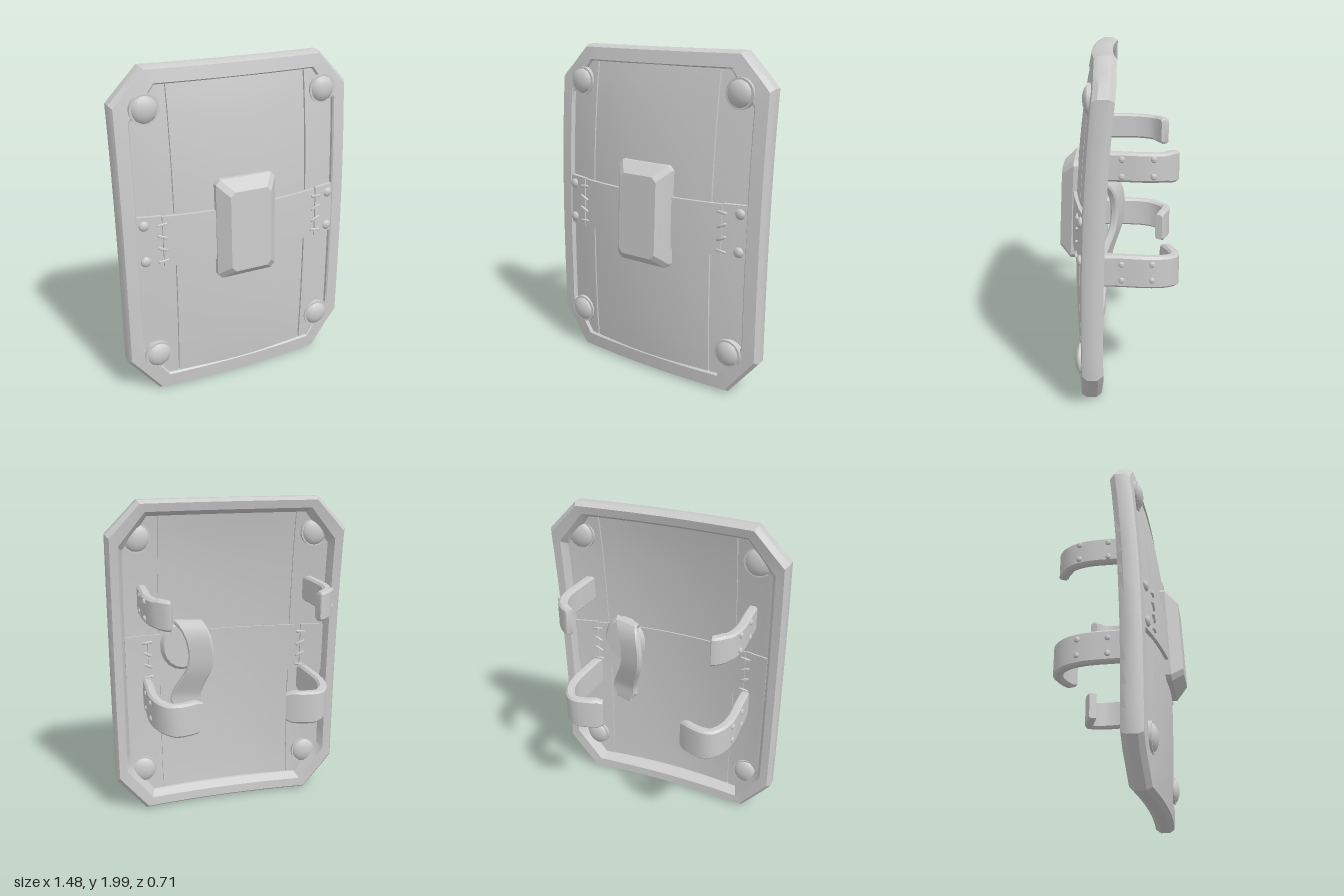
import * as THREE from 'three';
import { toCreasedNormals } from 'three/addons/utils/BufferGeometryUtils.js';

const V = (x, y, z) => new THREE.Vector3(x, y, z);
const lerp = THREE.MathUtils.lerp;
const material = new THREE.MeshStandardMaterial({ color: 0xcccccc });

// Curved back surface of the shield, and the front of its panel
const backZ = (x, y) => 0.088 - 0.094 * (y / 2) ** 3 + Math.max(-0.006, 0.035 * (1 - (x / 0.62) ** 2));
const panelZ = (x, y) => backZ(x, y) + 0.095
  + 0.052 * Math.max(0, 1 - (x / 0.64) ** 2) * Math.sqrt(Math.max(0, 1 - (y - 1) ** 2));

// Skin over closed cross-sections, either joined end to end or capped
function skin(rings, closed = false) {
  const n = rings[0].length, tris = [];
  const count = closed ? rings.length : rings.length - 1;
  for (let i = 0; i < count; i++) {
    const a = rings[i], b = rings[(i + 1) % rings.length];
    for (let j = 0; j < n; j++) {
      const k = (j + 1) % n;
      tris.push([a[j], a[k], b[k]], [a[j], b[k], b[j]]);
    }
  }
  if (!closed) {
    const a = rings[0], b = rings[rings.length - 1];
    for (let j = 1; j < n - 1; j++) tris.push([a[0], a[j + 1], a[j]], [b[0], b[j], b[j + 1]]);
  }
  // Turn the faces outward
  const c = rings[0][0];
  const volume = tris.reduce((s, [p, q, r]) =>
    s + p.clone().sub(c).dot(q.clone().sub(c).cross(r.clone().sub(c))), 0);
  if (volume < 0) tris.forEach((t) => t.reverse());
  return new THREE.BufferGeometry().setFromPoints(tris.flat());
}

function add(parent, name, geometry, crease = 0.55) {
  const mesh = new THREE.Mesh(toCreasedNormals(geometry, crease), material);
  mesh.name = name;
  parent.add(mesh);
  return mesh;
}

// Flat strap swept along a path, with bevelled edges
function strip(points, widthDir, halfWidth, halfThick, steps = 16) {
  const curve = new THREE.CatmullRomCurve3(points.map((p) => V(...p)));
  const w = widthDir.clone().normalize();
  const rings = [];
  for (let i = 0; i <= steps; i++) {
    const u = i / steps, p = curve.getPoint(u);
    const n = curve.getTangent(u).cross(w).normalize();
    const end = i === 0 || i === steps ? 0.85 : 1;
    const hw = halfWidth(u) * end, ht = halfThick * end, b = ht * 0.45;
    rings.push([[hw, ht - b], [hw - b, ht], [b - hw, ht], [-hw, ht - b],
      [-hw, b - ht], [b - hw, -ht], [hw - b, -ht], [hw, b - ht]]
      .map(([s, t]) => p.clone().addScaledVector(w, s).addScaledVector(n, t)));
  }
  return skin(rings);
}

// Sheet between x0 and x1 that follows the panel curve
function sheet(x0, x1, low, high, lift, thick) {
  const g = new THREE.BoxGeometry(1, 1, 1, 12, 20, 1), p = g.attributes.position;
  for (let i = 0; i < p.count; i++) {
    const x = lerp(x0, x1, p.getX(i) + 0.5);
    const y = lerp(low(x), high(x), p.getY(i) + 0.5);
    p.setXYZ(i, x, y, panelZ(x, y) + lift - (p.getZ(i) > 0 ? 0 : thick));
  }
  return g;
}

// Octagon outline with subdivided sides
function octagon(top, side, cutX, sideTop, bottom, sideBottom) {
  const c = [[cutX, bottom], [side, sideBottom], [side, sideTop], [cutX, top],
    [-cutX, top], [-side, sideTop], [-side, sideBottom], [-cutX, bottom]];
  return c.flatMap(([x, y], i) => {
    const [x2, y2] = c[(i + 1) % 8], steps = i % 2 ? 12 : 3;
    return Array.from({ length: steps }, (_, k) => [lerp(x, x2, k / steps), lerp(y, y2, k / steps)]);
  });
}

function rivet(parent, name, x, y, z, r, depth) {
  const dome = add(parent, name, new THREE.SphereGeometry(r, 12, 8), 0.7);
  dome.position.set(x, y, z);
  dome.scale.z = depth / r;
}

export function createModel() {
  const shield = new THREE.Group();
  shield.name = 'shield';

  // Thick bevelled rim
  const outer = octagon(2, 0.738, 0.55, 1.81, 0.01, 0.24);
  const inner = octagon(1.905, 0.64, 0.49, 1.71, 0.12, 0.33);
  const profile = [[0, 0.032], [0, 0.09], [0.16, 0.118], [0.92, 0.124], [1, 0.115],
    [1, 0.055], [0.7, 0.004], [0.2, 0]];
  add(shield, 'rim', skin(outer.map(([x, y], i) => profile.map(([s, z]) => {
    const px = lerp(x, inner[i][0], s), py = lerp(y, inner[i][1], s);
    return V(px, py, backZ(px, py) + z);
  })), true));

  // Panel boards, with a groove at each side seam
  const cut = (x) => Math.max(0, Math.abs(x) - 0.49) * 1.25;
  const low = (x) => 0.1 + cut(x), high = (x) => 1.92 - cut(x);
  add(shield, 'centreBoard', sheet(-0.425, 0.425, low, high, 0, 0.045));
  add(shield, 'seamBacking', sheet(-0.45, 0.45, low, high, -0.014, 0.02));
  for (const s of [-1, 1]) {
    const xs = [s * 0.435, s * 0.66].sort((a, b) => a - b);
    add(shield, 'sideBoard', sheet(...xs, low, high, 0, 0.045));
  }

  // Cross band wrapped round the panel, with stitched end pieces
  add(shield, 'crossBand', sheet(-0.5, 0.5, () => 0.87, () => 1.175, 0.02, 0.075));
  for (const s of [-1, 1]) {
    const xs = [s * 0.505, s * 0.645].sort((a, b) => a - b);
    add(shield, 'bandEnd', sheet(...xs, () => 0.865, () => 1.18, 0.024, 0.08));
    for (const y of [0.91, 1.13]) {
      rivet(shield, 'bandRivet', s * 0.605, y, panelZ(0.605, y) + 0.026, 0.031, 0.018);
    }
    [0.905, 0.98, 1.055, 1.13].forEach((y, i) => {
      for (const dz of [0.027, -0.058]) {
        const stitch = add(shield, 'stitch', new THREE.CapsuleGeometry(0.009, 0.05, 3, 6), 1);
        stitch.position.set(s * 0.505, y, panelZ(0.505, y) + dz);
        stitch.rotation.z = Math.PI / 2 + s * (i % 3 ? 0.45 : -0.1);
      }
    });
  }

  // Raised block at the centre
  const block = [[1, 0.235], [1, 0.275], [0.93, 0.29], [0.68, 0.345]].map(([s, z]) => {
    const hx = 0.19 * s, hy = 0.305 - 0.19 * (1 - s), b = 0.028;
    return [[hx, hy - b], [hx - b, hy], [b - hx, hy], [-hx, hy - b],
      [-hx, b - hy], [b - hx, -hy], [hx - b, -hy], [hx, b - hy]]
      .map(([x, y]) => V(x, 1.05 + y, z - 0.05 * y));
  });
  add(shield, 'centreBlock', skin(block), 0.3);

  // Large corner rivets, domed on both faces
  for (const x of [-0.555, 0.555]) for (const y of [0.275, 1.78]) {
    const z = panelZ(x, y);
    const collar = add(shield, 'rivetCollar', new THREE.CylinderGeometry(0.087, 0.087, 0.075, 20));
    collar.rotation.x = Math.PI / 2;
    collar.position.set(x, y, z - 0.012);
    rivet(shield, 'cornerRivet', x, y, z + 0.012, 0.08, 0.042);
    rivet(shield, 'cornerRivetBack', x, y, z - 0.045, 0.08, 0.033);
  }

  // Arm straps on the back: short upper pair, curled lower pair
  const bend = [[0.53, 0, 0.16], [0.535, 0, 0], [0.54, -0.2, -0.14], [0.515, -0.5, -0.24], [0.455, -0.9, -0.3]];
  const arms = [
    { y: 1.42, h: 0.08, reach: 0, inset: 0, sag: 0.02, tip: [[0.43, -1, -0.308]] },
    { y: 0.815, h: 0.095, reach: -0.018, inset: 0.015, sag: 0.03, tip: [[0.37, -1, -0.29], [0.28, -1, -0.25]] },
  ];
  for (const s of [-1, 1]) for (const { y, h, reach, inset, sag, tip } of arms) {
    const path = [...bend, ...tip]
      .map(([x, d, z]) => [s * (x - inset), y + d * sag, z + (z < -0.1 ? reach : 0)]);
    add(shield, 'armStrap', strip(path, V(0, 1, 0), (u) => h + (u > 0.65 ? 0.006 : 0), 0.028));
    for (const z of [-0.02, -0.19]) for (const dy of [-0.05, 0.045]) {
      const stud = add(shield, 'strapStud', new THREE.SphereGeometry(0.018, 8, 6), 0.8);
      stud.position.set(s * (0.563 - inset), y + dy, z);
      stud.scale.x = 0.7;
    }
  }

  // Hand grip loop with a round base plate and a hanging tail
  const plate = add(shield, 'gripPlate', new THREE.CylinderGeometry(0.12, 0.14, 0.03, 18));
  plate.rotation.x = -Math.PI / 2;
  plate.scale.z = 1.15;
  plate.position.set(0.29, 1.11, 0.1);
  const grip = [[0.29, 1.2, 0.13], [0.26, 1.255, 0.075], [0.22, 1.2, 0.02], [0.195, 1.08, 0.002],
    [0.21, 0.97, 0.015], [0.25, 0.88, 0.05], [0.28, 0.79, 0.08], [0.28, 0.69, 0.07]];
  add(shield, 'handGrip', strip(grip, V(0.95, 0, 0.3),
    (u) => 0.078 + 0.03 * Math.abs(2 * u - 1) ** 2 - (u > 0.93 ? 0.03 : 0), 0.022, 22));

  return shield;
}
